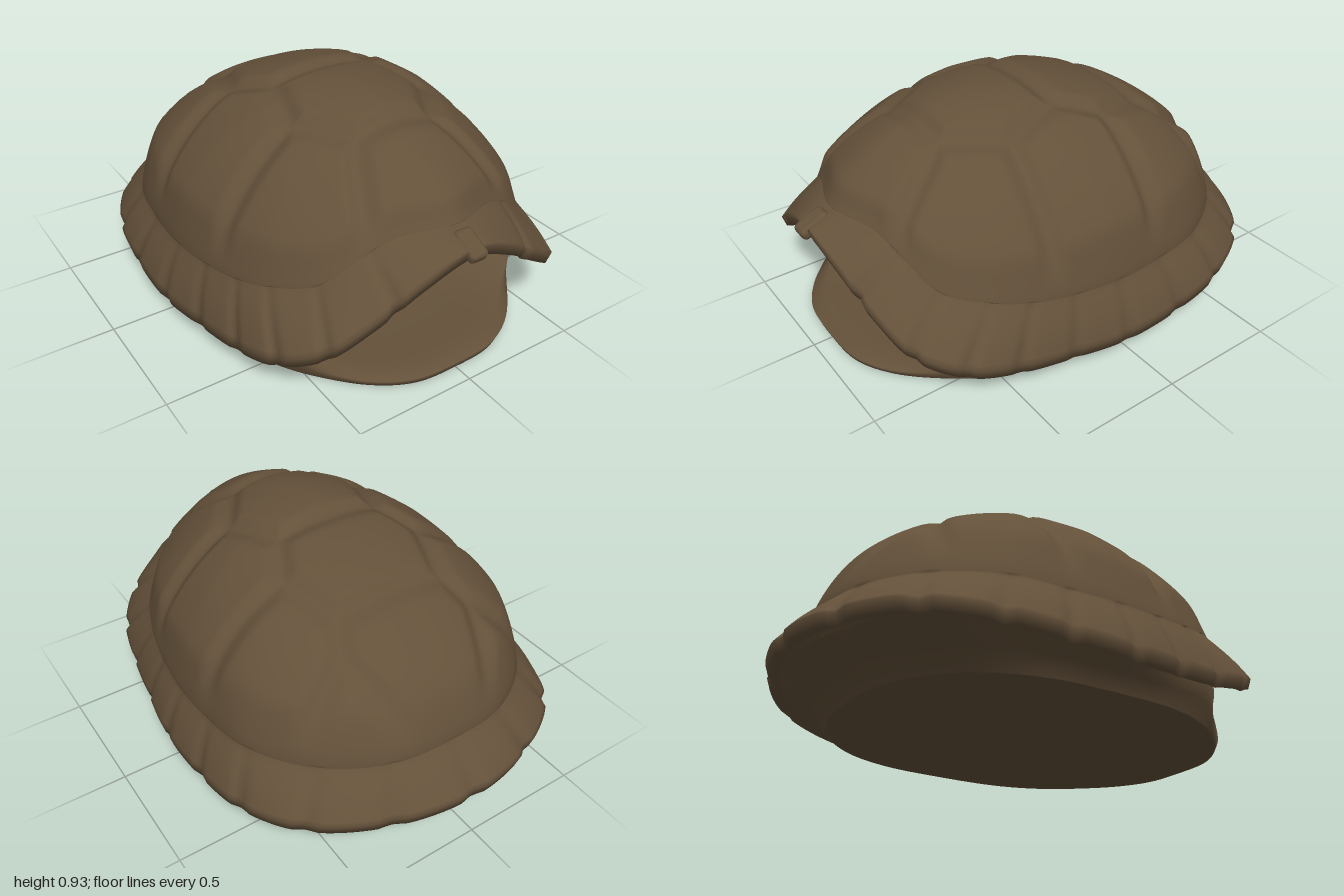
import * as THREE from 'three';
import { RoundedBoxGeometry } from 'three/addons/geometries/RoundedBoxGeometry.js';

const N = 288; // samples around each ring
const V = (x, y, z) => new THREE.Vector3(x, y, z);
const smooth = (x) => THREE.MathUtils.smoothstep(x, 0, 1);

// Closed mirrored outline from half of its points, front to back
function outline(half) {
  const right = half.map((p) => V(...p));
  const left = half.slice(1, -1).reverse().map(([x, y, z]) => V(-x, y, z));
  const curve = new THREE.CatmullRomCurve3([...right, ...left], true, 'centripetal');
  return Array.from({ length: N }, (_, j) => curve.getPoint(j / N));
}

// Skin a list of rings into one smooth surface
function loft(rings) {
  const pos = [], idx = [];
  rings.forEach((ring) => ring.forEach((p) => pos.push(p.x, p.y, p.z)));
  for (let i = 0; i < rings.length - 1; i++) {
    for (let j = 0; j < N; j++) {
      const k = (j + 1) % N;
      const a = i * N + j, b = i * N + k, c = b + N, d = a + N;
      idx.push(a, b, c, a, c, d);
    }
  }
  const g = new THREE.BufferGeometry();
  g.setAttribute('position', new THREE.Float32BufferAttribute(pos, 3));
  g.setIndex(idx);
  g.computeVertexNormals();
  return g;
}

const shift = (ring, s, dy) => ring.map((p) => V(p.x * s, p.y + dy, p.z * s));
const point = (x, y, z) => Array.from({ length: N }, () => V(x, y, z));

// Outer lip of the shell
const rim = outline([
  [0, 0.54, 0.975], [0.2, 0.465, 0.955], [0.38, 0.345, 0.915], [0.54, 0.24, 0.85],
  [0.66, 0.165, 0.7], [0.715, 0.12, 0.5], [0.755, 0.1, 0.27], [0.79, 0.09, 0.03],
  [0.785, 0.1, -0.25], [0.745, 0.12, -0.5], [0.61, 0.15, -0.75],
  [0.33, 0.17, -0.93], [0, 0.185, -1],
]);

// Line where the dome meets the marginal plates
const base = outline([
  [0, 0.61, 0.86], [0.22, 0.59, 0.79], [0.36, 0.52, 0.75], [0.48, 0.43, 0.69],
  [0.59, 0.38, 0.54], [0.645, 0.35, 0.4], [0.685, 0.33, 0.22], [0.705, 0.32, 0.02],
  [0.695, 0.32, -0.2], [0.655, 0.33, -0.42], [0.5, 0.34, -0.66],
  [0.26, 0.35, -0.81], [0, 0.36, -0.845],
]);

// Seams between the dome plates, seen from above: x1, z1, x2, z2
const seams = [
  [0, 0.48, 0.17, 0.48], [0.17, 0.48, 0.31, 0.26], [0.31, 0.26, 0.23, 0],
  [0, 0, 0.23, 0], [0.23, 0, 0.32, -0.18], [0.32, -0.18, 0.24, -0.42],
  [0, -0.42, 0.24, -0.42], [0.24, -0.42, 0.3, -0.54], [0.3, -0.54, 0.19, -0.84],
  [0.17, 0.48, 0.22, 0.56], [0.22, 0.56, 0.32, 0.78], [0.31, 0.26, 0.7, 0.3],
  [0.32, -0.18, 0.72, -0.17], [0.3, -0.54, 0.57, -0.64],
];
function seamDistance(x, z) {
  let best = 1;
  for (const [x1, z1, x2, z2] of seams) {
    const dx = x2 - x1, dz = z2 - z1;
    const t = THREE.MathUtils.clamp(((x - x1) * dx + (z - z1) * dz) / (dx * dx + dz * dz), 0, 1);
    best = Math.min(best, Math.hypot(x - x1 - t * dx, z - z1 - t * dz));
  }
  return best;
}

// Dome ring: r = 1 at the base line, 0 at the top
const APEX = V(0, 0.907, 0.18);
function domeRing(r, relief) {
  return base.map((b) => {
    const p = APEX.clone().lerp(b, r);
    const power = 0.6 + 0.25 * Math.max(0, b.z / 0.86);
    p.y = b.y + (APEX.y - b.y) * Math.pow(Math.max(0, 1 - r * r), power);
    const swell = relief * smooth(seamDistance(Math.abs(p.x), p.z) / 0.07) * smooth((1 - r) / 0.12);
    return p.addScaledVector(p.clone().sub(V(0, 0.3, 0.1)).normalize(), swell);
  });
}

// Grooves between marginal plates, front to back along one side
const marginSeams = [0, 1.6, 3, 4, 5, 6, 7, 8, 9, 10, 11, 12];

// Marginal ring: k = 0 at the lip, 1 at the base line; plates swell between grooves
function marginRing(k) {
  return rim.map((p, j) => {
    const u = (Math.min(j, N - j) / N) * 24;
    const plate = smooth(Math.min(...marginSeams.map((s) => Math.abs(u - s))) / 0.2);
    const out = 1 - 0.018 * (1 - plate) * (1 - 0.6 * k) + 0.012 * Math.sin(Math.PI * k);
    const q = p.clone().lerp(base[j], k);
    q.x *= out;
    q.z *= out;
    q.y += (0.03 - 0.008 * (1 - plate)) * (1 - k);
    return q;
  });
}

function carapaceGeometry() {
  const rings = [];
  // hollow inside, from the top down to the lip
  for (let i = 0; i <= 12; i++) {
    rings.push(shift(domeRing(Math.sin((i / 12) * Math.PI / 2), 0), 0.94, -0.035));
  }
  rings.push(shift(rim, 0.91, 0.02), shift(rim, 0.95, -0.012), shift(marginRing(0), 0.985, -0.045));
  // marginal plates
  for (let i = 0; i <= 10; i++) rings.push(marginRing(i / 10));
  // dome plates
  const rows = 64;
  for (let i = 1; i <= rows; i++) {
    rings.push(domeRing(Math.cos((i / rows) * Math.PI / 2), 0.025));
  }
  return loft(rings);
}

function plastronGeometry() {
  const sole = outline([
    [0, 0, 0.92], [0.18, 0, 0.905], [0.32, 0, 0.83], [0.45, 0, 0.7], [0.56, 0, 0.54],
    [0.63, 0, 0.33], [0.645, 0, 0], [0.625, 0, -0.25], [0.55, 0, -0.45],
    [0.42, 0, -0.6], [0.24, 0, -0.7], [0, 0, -0.73],
  ]);
  const wall = outline([
    [0, 0.03, 0.93], [0.185, 0.03, 0.915], [0.33, 0.03, 0.84], [0.465, 0.045, 0.705], [0.58, 0.08, 0.545],
    [0.65, 0.07, 0.33], [0.67, 0.065, 0], [0.655, 0.07, -0.25], [0.595, 0.075, -0.47],
    [0.46, 0.08, -0.64], [0.26, 0.08, -0.75], [0, 0.08, -0.785],
  ]);
  const bridge = outline([
    [0, 0.04, 0.87], [0.17, 0.04, 0.855], [0.31, 0.042, 0.785], [0.46, 0.065, 0.67], [0.61, 0.14, 0.56],
    [0.7, 0.12, 0.33], [0.745, 0.1, 0], [0.73, 0.105, -0.25], [0.68, 0.125, -0.52],
    [0.53, 0.14, -0.75], [0.3, 0.15, -0.87], [0, 0.155, -0.93],
  ]);
  // floor inside the shell, rising towards the back
  const floor = (s) => bridge.map((p) => {
    const z = p.z * s - 0.2 * (1 - s);
    const height = Math.max(p.y, 0.14 - 0.2 * z);
    return V(p.x * s, THREE.MathUtils.lerp(p.y, height, smooth((1 - s) / 0.5)), z);
  });
  // level the centre so that the floor closes in one point
  const centre = point(0, 0.18, -0.2);
  return loft([
    point(0, 0, 0), shift(sole, 0.5, 0), shift(sole, 0.985, 0), sole, wall, bridge,
    floor(0.95), floor(0.85), floor(0.7), floor(0.5), floor(0.25), centre,
  ]);
}

export function createModel() {
  const shellBrown = new THREE.MeshStandardMaterial({ color: 0x64513a });
  shellBrown.name = 'shellBrown';
  const model = new THREE.Group();
  model.name = 'tortoiseShell';
  const add = (name, geometry) => {
    const mesh = new THREE.Mesh(geometry, shellBrown);
    mesh.name = name;
    model.add(mesh);
    return mesh;
  };

  add('carapace', carapaceGeometry());
  add('plastron', plastronGeometry());

  // small plate at the middle of the front lip
  const nuchal = add('nuchalPlate', new RoundedBoxGeometry(0.08, 0.05, 0.13, 3, 0.02));
  nuchal.position.set(0, 0.565, 0.935);
  nuchal.rotation.x = 0.45;
  return model;
}
